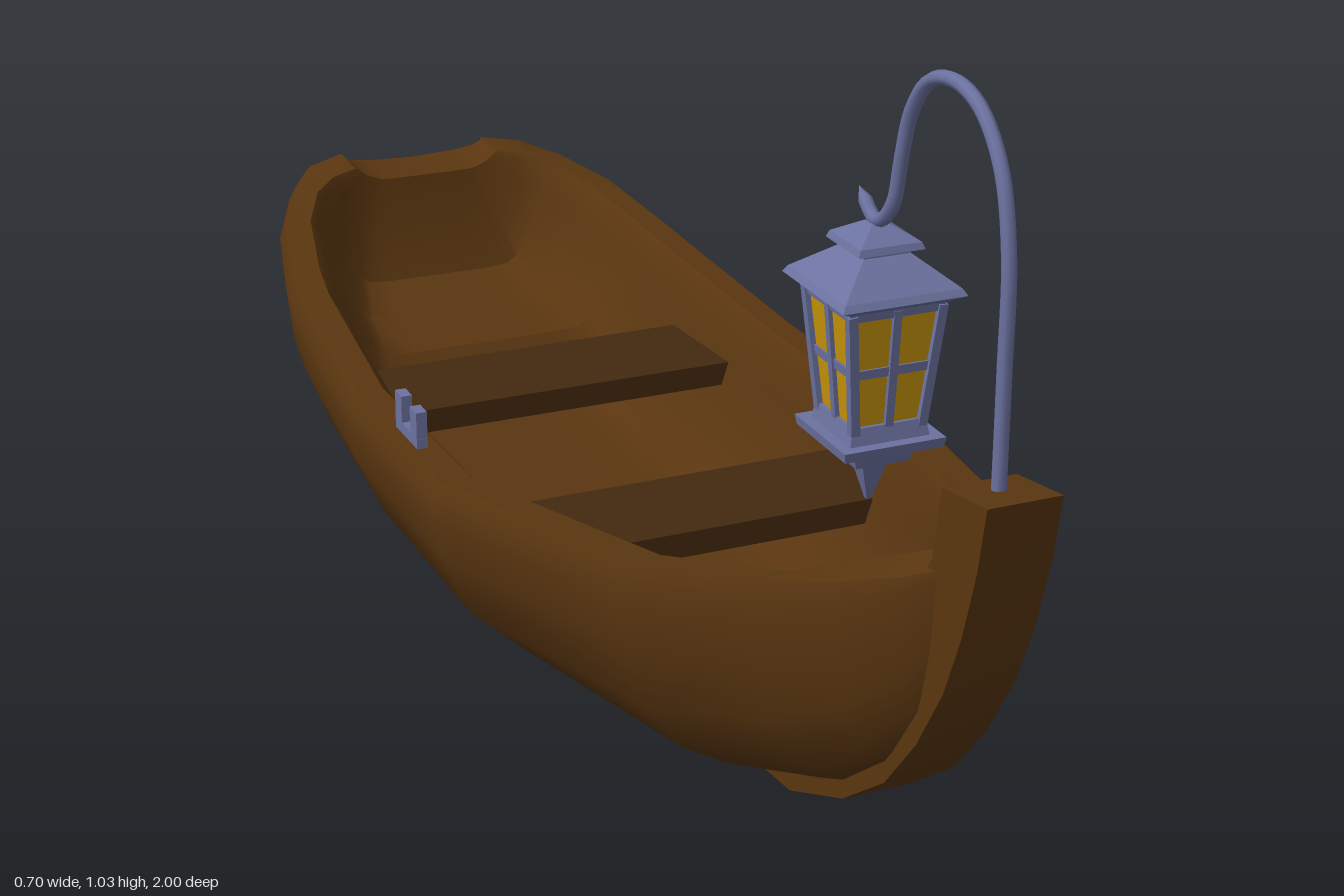
import * as THREE from 'three';
import { toCreasedNormals } from 'three/addons/utils/BufferGeometryUtils.js';

const wood = new THREE.MeshStandardMaterial({ color: 0x5a3610 });
const plank = new THREE.MeshStandardMaterial({ color: 0x44290f });
const metal = new THREE.MeshStandardMaterial({ color: 0x6c72a0 });
const glass = new THREE.MeshStandardMaterial({ color: 0xc8940c });

function add(parent, name, geometry, material, x = 0, y = 0, z = 0) {
  const mesh = new THREE.Mesh(geometry, material);
  mesh.name = name;
  mesh.position.set(x, y, z);
  parent.add(mesh);
  return mesh;
}

// Hull stations from bow to stern:
// outer z, half width, rim height, keel height, inner z, inner half width, floor height
const STATIONS = [
  [0.9, 0.045, 0.505, 0.36, 0.85, 0.02, 0.42],
  [0.87, 0.075, 0.49, 0.285, 0.82, 0.04, 0.3],
  [0.8, 0.115, 0.46, 0.2, 0.76, 0.075, 0.21],
  [0.7, 0.165, 0.425, 0.125, 0.69, 0.115, 0.14],
  [0.52, 0.258, 0.385, 0.055, 0.52, 0.195, 0.1],
  [0.12, 0.348, 0.335, 0.012, 0.12, 0.285, 0.09],
  [-0.24, 0.35, 0.325, 0.006, -0.24, 0.29, 0.09],
  [-0.57, 0.328, 0.35, 0.008, -0.57, 0.268, 0.1],
  [-0.66, 0.317, 0.362, 0.015, -0.65, 0.258, 0.2],
  [-0.8, 0.285, 0.39, 0.07, -0.79, 0.23, 0.21],
  [-0.9, 0.24, 0.408, 0.2, -0.87, 0.195, 0.24],
  [-0.97, 0.19, 0.42, 0.335, -0.9, 0.16, 0.31],
  [-1, 0.125, 0.425, 0.405, -0.915, 0.12, 0.4],
];
// Half sections from centre to rim, as fractions of width and height
const OUTER = [[0, 0], [0.14, 0], [0.2, 0.055], [0.43, 0.095], [0.66, 0.2], [0.86, 0.4], [0.97, 0.67], [1, 0.92], [0.96, 1]];
const INNER = [[0, 0], [0.25, 0], [0.45, 0], [0.62, 0.02], [0.7, 0.1], [0.85, 0.4], [0.93, 0.7], [0.98, 0.93], [1.03, 1]];

function hullGeometry() {
  const m = OUTER.length - 1;
  const span = 2 * m + 1;
  const ring = 2 * span;
  const position = [];
  const index = [];
  const quad = (a, b, c, d) => index.push(a, b, c, a, c, d);
  for (const [z, w, rim, keel, zi, wi, floor] of STATIONS) {
    for (let j = -m; j <= m; j++) {
      const [fx, fy] = OUTER[Math.abs(j)];
      position.push(Math.sign(j) * fx * w, keel + fy * (rim - keel), z);
    }
    for (let j = m; j >= -m; j--) {
      const [fx, fy] = INNER[Math.abs(j)];
      position.push(Math.sign(j) * fx * wi, floor + fy * (rim - floor), zi);
    }
  }
  for (let i = 0; i < STATIONS.length - 1; i++) {
    for (let j = 0; j < ring; j++) {
      const k = (j + 1) % ring;
      quad(i * ring + j, (i + 1) * ring + j, (i + 1) * ring + k, i * ring + k);
    }
  }
  // Close both ends between the outer and inner skins
  const last = (STATIONS.length - 1) * ring;
  for (let j = 0; j < span - 1; j++) {
    const p = ring - 1 - j;
    quad(j, j + 1, p - 1, p);
    quad(last + p, last + p - 1, last + j + 1, last + j);
  }
  const geometry = new THREE.BufferGeometry();
  geometry.setAttribute('position', new THREE.Float32BufferAttribute(position, 3));
  geometry.setIndex(index);
  return toCreasedNormals(geometry, 0.65);
}

// Keel and stem post: a side profile (z, y) given thickness across x
function stemGeometry() {
  const profile = [
    [1, 0.62], [0.985, 0.54], [0.96, 0.455], [0.925, 0.37], [0.87, 0.28], [0.8, 0.195], [0.7, 0.12],
    [0.56, 0.055], [0.12, 0.008], [-0.2, 0], [-0.6, 0.004], [-0.6, 0.04], [0.12, 0.05], [0.56, 0.085],
    [0.72, 0.17], [0.82, 0.3], [0.86, 0.4], [0.87, 0.49], [0.89, 0.515], [0.905, 0.605],
  ];
  const shape = new THREE.Shape(profile.map(([z, y]) => new THREE.Vector2(z, y)));
  const geometry = new THREE.ExtrudeGeometry(shape, { depth: 0.09, bevelEnabled: false });
  geometry.translate(0, 0, -0.045).rotateY(-Math.PI / 2);
  return toCreasedNormals(geometry, 0.5);
}

// Square tapered block between two heights, sized by half widths
function frustum(parent, name, y0, half0, y1, half1, material = metal) {
  const r = Math.SQRT2;
  const geometry = new THREE.CylinderGeometry(half1 * r, half0 * r, y1 - y0, 4).rotateY(Math.PI / 4);
  return add(parent, name, toCreasedNormals(geometry, 0.3), material, 0, (y0 + y1) / 2, 0);
}

// Square bar between two points
function bar(parent, name, from, to, size) {
  const a = new THREE.Vector3(...from);
  const d = new THREE.Vector3(...to).sub(a);
  const mesh = add(parent, name, new THREE.BoxGeometry(size, d.length(), size), metal);
  mesh.position.copy(a).addScaledVector(d, 0.5);
  mesh.quaternion.setFromUnitVectors(new THREE.Vector3(0, 1, 0), d.normalize());
}

function createLantern() {
  const lantern = new THREE.Group();
  lantern.name = 'lantern';
  // Base plate and finial below
  frustum(lantern, 'finialTip', 0.48, 0.003, 0.51, 0.011);
  frustum(lantern, 'finial', 0.51, 0.011, 0.535, 0.018);
  frustum(lantern, 'finialCollar', 0.535, 0.034, 0.558, 0.04);
  frustum(lantern, 'basePlate', 0.558, 0.062, 0.57, 0.064);
  frustum(lantern, 'baseStep', 0.57, 0.05, 0.59, 0.046);
  // Glass and its frame
  frustum(lantern, 'glass', 0.585, 0.041, 0.73, 0.055, glass);
  frustum(lantern, 'middleRail', 0.65, 0.05, 0.661, 0.051);
  frustum(lantern, 'topRail', 0.722, 0.058, 0.737, 0.06);
  for (let i = 0; i < 4; i++) {
    const side = new THREE.Group();
    side.name = 'frameSide';
    side.rotation.y = (i * Math.PI) / 2;
    bar(side, 'cornerPost', [0.042, 0.58, 0.042], [0.056, 0.73, 0.056], 0.011);
    bar(side, 'middlePost', [0, 0.58, 0.041], [0, 0.73, 0.055], 0.01);
    lantern.add(side);
  }
  // Roof tiers
  frustum(lantern, 'eaveUnderside', 0.732, 0.06, 0.742, 0.077);
  frustum(lantern, 'eave', 0.742, 0.077, 0.75, 0.072);
  frustum(lantern, 'roof', 0.75, 0.072, 0.783, 0.03);
  frustum(lantern, 'roofNeck', 0.783, 0.028, 0.79, 0.028);
  frustum(lantern, 'roofCap', 0.79, 0.041, 0.798, 0.038);
  frustum(lantern, 'roofPeak', 0.798, 0.038, 0.815, 0.01);
  lantern.position.z = 0.655;
  return lantern;
}

export function createModel() {
  const boat = new THREE.Group();
  boat.name = 'rowingBoat';
  add(boat, 'hull', hullGeometry(), wood);
  add(boat, 'stemAndKeel', stemGeometry(), wood);

  // Benches
  add(boat, 'rearSeat', new THREE.BoxGeometry(0.54, 0.035, 0.175), plank, 0, 0.235, -0.39);
  add(boat, 'frontSeat', new THREE.BoxGeometry(0.53, 0.035, 0.17), plank, 0, 0.235, 0.135);

  // Oarlocks on both rims
  for (const side of [-1, 1]) {
    const lock = new THREE.Group();
    lock.name = side > 0 ? 'leftOarlock' : 'rightOarlock';
    add(lock, 'oarlockBase', new THREE.BoxGeometry(0.015, 0.025, 0.09), metal, 0, 0.333, 0);
    for (const z of [-0.031, 0.031]) {
      add(lock, 'oarlockProng', new THREE.BoxGeometry(0.015, 0.06, 0.027), metal, 0, 0.353, z);
    }
    lock.position.set(side * 0.32, 0, -0.046);
    boat.add(lock);
  }

  // Curved lantern pole
  const path = [
    [0.945, 0.58], [0.945, 0.74], [0.943, 0.87], [0.92, 0.955], [0.875, 1.005], [0.82, 1.02], [0.765, 1.005],
    [0.727, 0.96], [0.708, 0.9], [0.695, 0.85], [0.67, 0.822], [0.65, 0.817], [0.628, 0.832],
  ].map(([z, y]) => new THREE.Vector3(0, y, z));
  add(boat, 'lanternPole', new THREE.TubeGeometry(new THREE.CatmullRomCurve3(path), 64, 0.0085, 8), metal);
  add(boat, 'poleTip', new THREE.ConeGeometry(0.0085, 0.02, 8).rotateX(-0.9), metal, 0, 0.838, 0.62);

  boat.add(createLantern());
  return boat;
}
